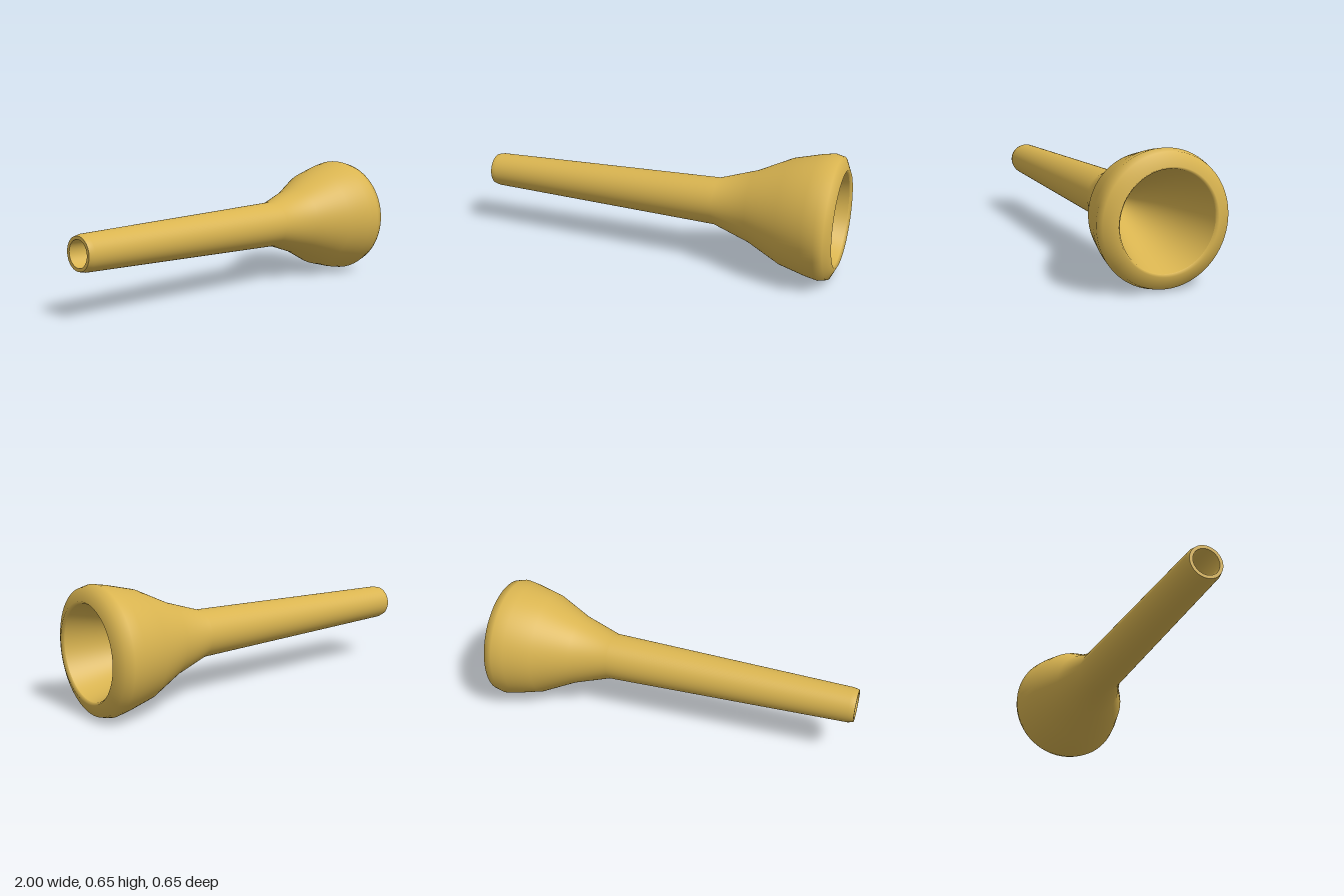
import * as THREE from 'three';

const AXIS_HEIGHT = 0.325;

export function createModel() {
  const group = new THREE.Group();
  group.name = 'mouthpiece';

  const brass = new THREE.MeshStandardMaterial({ color: 0xd9b450 });
  brass.name = 'brass';

  // Turns a profile of [x, radius] points around the long axis
  const turned = (name, profile) => {
    const points = profile.map(([x, r]) => new THREE.Vector2(r, x));
    const geometry = new THREE.LatheGeometry(points, 96);
    geometry.rotateZ(-Math.PI / 2);
    const mesh = new THREE.Mesh(geometry, brass);
    mesh.name = name;
    mesh.position.y = AXIS_HEIGHT;
    group.add(mesh);
  };

  // Tapered shank, flared cup and rounded rim
  turned('outerBody', [
    [-1, 0.085], [-0.97, 0.092], [0.34, 0.125], [0.54, 0.19],
    [0.72, 0.277], [0.86, 0.313], [0.925, 0.325], [0.97, 0.314],
    [1, 0.25], [0.985, 0.239],
  ]);

  // Inside of the cup, down to the throat
  turned('cupInterior', [
    [0.985, 0.239], [0.8, 0.19], [0.62, 0.13], [0.48, 0.075], [0.36, 0.0375],
  ]);

  // Bore widening towards the shank end
  turned('bore', [[0.36, 0.0375], [0.2, 0.0375], [-1, 0.068]]);

  // Narrow ring closing the shank end
  turned('shankEnd', [[-1, 0.068], [-1, 0.085]]);

  return group;
}
